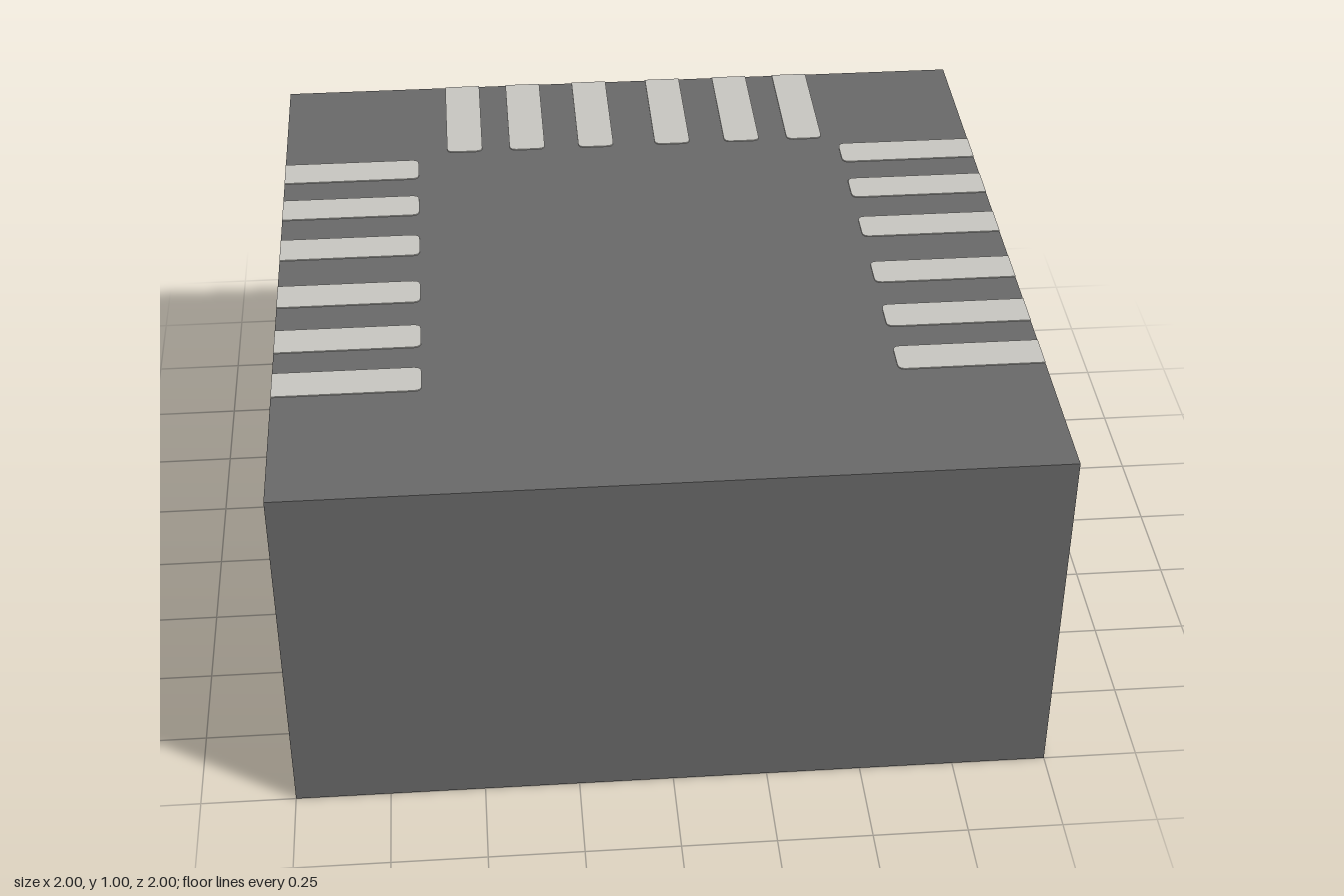
import * as THREE from 'three';

const TOP = 0.997; // top of the body, the thin strips bring it to 1
const THICK = 0.003;

// Strip running inward from its edge along +x, with a softly rounded inner end
function stripGeometry(length, width, r) {
  const h = width / 2;
  const s = new THREE.Shape();
  s.moveTo(0, -h);
  s.lineTo(length - r, -h);
  s.quadraticCurveTo(length, -h, length, -h + r);
  s.lineTo(length, h - r);
  s.quadraticCurveTo(length, h, length - r, h);
  s.lineTo(0, h);
  s.closePath();
  const g = new THREE.ExtrudeGeometry(s, { depth: THICK, bevelEnabled: false, curveSegments: 4 });
  return g.rotateX(-Math.PI / 2);
}

export function createModel() {
  const model = new THREE.Group();
  model.name = 'stripedBlock';

  const darkGrey = new THREE.MeshStandardMaterial({ color: 0x686868 });
  darkGrey.name = 'darkGrey';
  const paleGrey = new THREE.MeshStandardMaterial({ color: 0xc5c4bf });
  paleGrey.name = 'paleGrey';

  // Solid block
  const body = new THREE.Mesh(new THREE.BoxGeometry(2, TOP, 2), darkGrey);
  body.name = 'body';
  body.position.y = TOP / 2;
  model.add(body);

  // Strips on three edges of the top
  const geometry = stripGeometry(0.385, 0.103, 0.02);
  const sideOffsets = [-0.525, -0.328, -0.12, 0.112, 0.323, 0.518];
  const backOffsets = [-0.48, -0.297, -0.095, 0.13, 0.335, 0.52];
  const rows = [
    { name: 'rightStrips', offsets: sideOffsets, turn: 0, at: (o) => [-1, o] },
    { name: 'leftStrips', offsets: sideOffsets, turn: Math.PI, at: (o) => [1, o] },
    { name: 'backStrips', offsets: backOffsets, turn: -Math.PI / 2, at: (o) => [o, -1] },
  ];
  for (const row of rows) {
    const group = new THREE.Group();
    group.name = row.name;
    for (const o of row.offsets) {
      const strip = new THREE.Mesh(geometry, paleGrey);
      strip.name = 'strip';
      const [x, z] = row.at(o);
      strip.position.set(x, TOP, z);
      strip.rotation.y = row.turn;
      group.add(strip);
    }
    model.add(group);
  }
  return model;
}
